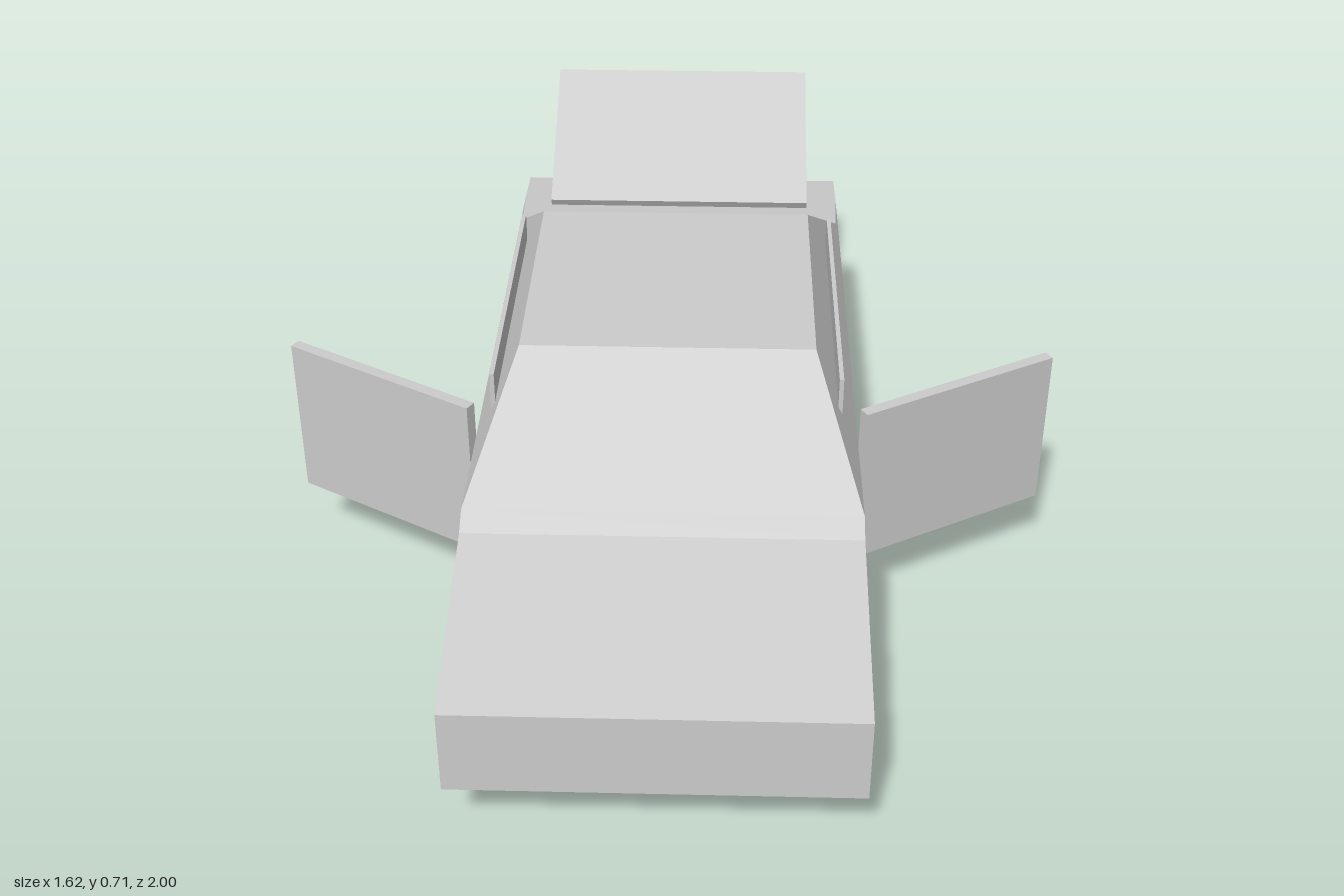
import * as THREE from 'three';

const HALF_WIDTH = 0.39, FLOOR = 0.145, BELT = 0.45;

// Body lofted from hexagonal cross-sections, front to back; sides lean in above the belt line
function bodyGeometry() {
  const profile = [ // [z, top height]
    [1, 0.325], [0.595, 0.425], [0.55, BELT], [0.24, 0.635],
    [-0.35, 0.635], [-0.635, 0.466], [-0.8, BELT], [-0.92, 0.44],
  ];
  const positions = [], index = [];
  for (const [z, top] of profile) {
    const belt = Math.min(top, BELT);
    const topX = HALF_WIDTH - (top - belt) * 0.4865;
    positions.push(
      -HALF_WIDTH, FLOOR, z, HALF_WIDTH, FLOOR, z, HALF_WIDTH, belt, z,
      topX, top, z, -topX, top, z, -HALF_WIDTH, belt, z);
  }
  const last = (profile.length - 1) * 6;
  for (let i = 0; i < last; i += 6) {
    for (let j = 0; j < 6; j++) {
      const k = (j + 1) % 6;
      const a = i + j, b = i + k, c = i + 6 + k, d = i + 6 + j;
      index.push(a, d, c, a, c, b);
    }
  }
  for (let j = 1; j < 5; j++) { // nose and tail caps
    index.push(0, j, j + 1, last, last + j + 1, last + j);
  }
  const indexed = new THREE.BufferGeometry();
  indexed.setAttribute('position', new THREE.Float32BufferAttribute(positions, 3));
  indexed.setIndex(index);
  const geometry = indexed.toNonIndexed();
  geometry.computeVertexNormals();
  return geometry;
}

export function createModel() {
  const car = new THREE.Group();
  car.name = 'car';
  const grey = new THREE.MeshStandardMaterial({ color: 0xcccccc, flatShading: true });
  grey.name = 'plain grey';

  const add = (name, geometry, x, y, z) => {
    const mesh = new THREE.Mesh(geometry, grey);
    mesh.name = name;
    mesh.position.set(x, y, z);
    car.add(mesh);
    return mesh;
  };

  add('body', bodyGeometry(), 0, 0, 0);

  // Raised boot lid
  const lid = add('bootLid', new THREE.BoxGeometry(0.62, 0.02, 0.405), 0, 0.607, -0.815);
  lid.rotation.x = THREE.MathUtils.degToRad(27.5);

  const wheel = new THREE.CylinderGeometry(0.147, 0.147, 0.09, 8).rotateZ(Math.PI / 2);
  const door = new THREE.BoxGeometry(0.467, 0.357, 0.025);
  const windowStrip = new THREE.BoxGeometry(0.009, 0.105, 0.695);

  // Mirrored side parts
  for (const [side, s] of [['left', 1], ['right', -1]]) {
    add(side + 'FrontWheel', wheel, s * 0.348, 0.147, 0.63);
    add(side + 'RearWheel', wheel, s * 0.348, 0.147, -0.565);
    add(side + 'WindowStrip', windowStrip, s * 0.35, 0.5525, -0.0425);
    // Door swung open
    add(side + 'Door', door, s * 0.602, 0.337, 0.167).rotation.y = s * Math.PI / 6;
  }
  return car;
}
